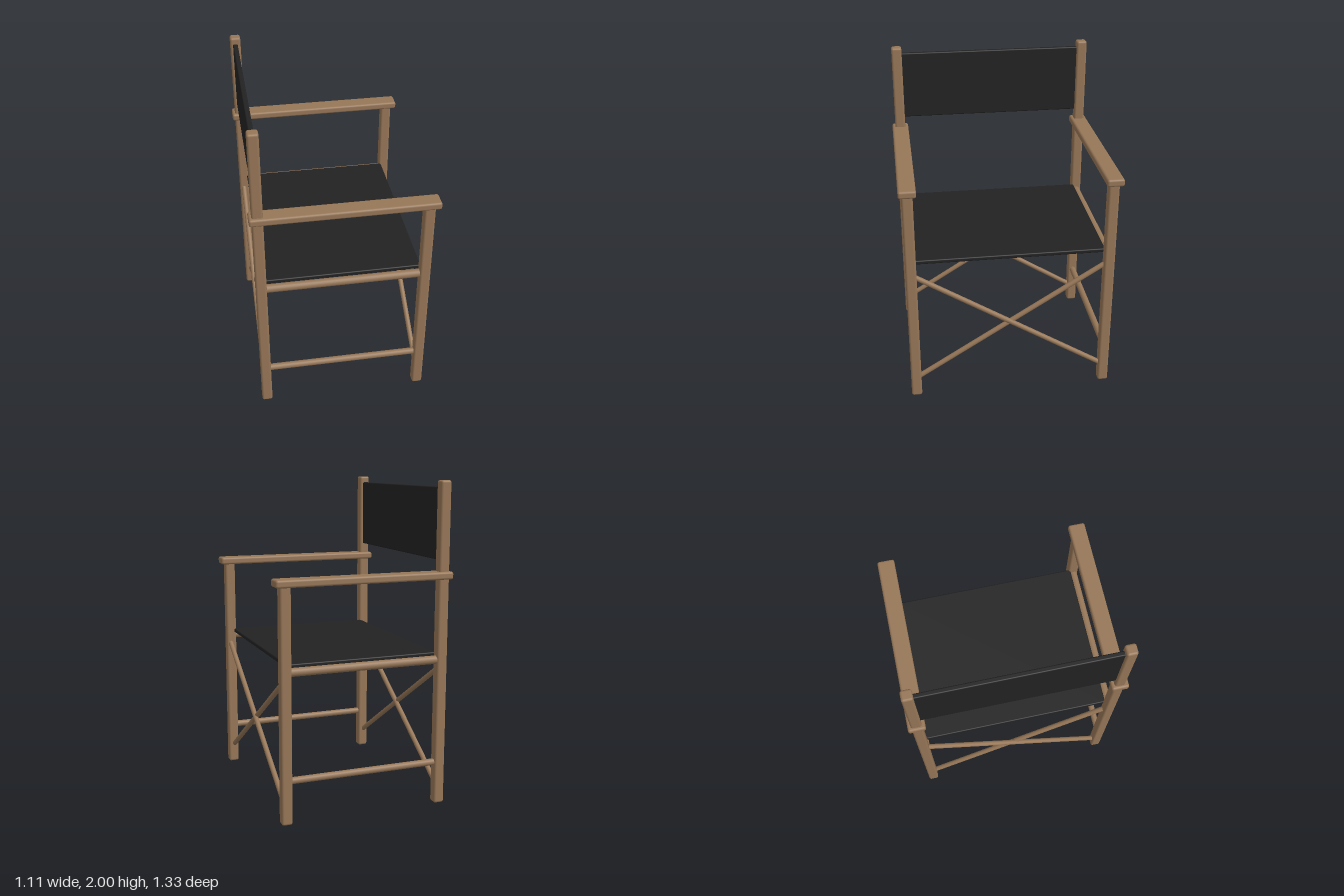
import * as THREE from 'three';
import { RoundedBoxGeometry } from 'three/addons/geometries/RoundedBoxGeometry.js';

const wood = new THREE.MeshStandardMaterial({ name: 'wood', color: 0x967657 });
const fabric = new THREE.MeshStandardMaterial({ name: 'blackFabric', color: 0x222222 });

const BACK_X = -0.507, FRONT_X = 0.492, POST_Z = 0.61, POST = 0.066;

export function createModel() {
  const chair = new THREE.Group();
  chair.name = 'foldingArmchair';

  // Softened box given by its minimum and maximum corners
  const box = (name, min, max, radius, material) => {
    const a = new THREE.Vector3(...min), b = new THREE.Vector3(...max);
    const size = b.clone().sub(a);
    const mesh = new THREE.Mesh(new RoundedBoxGeometry(size.x, size.y, size.z, 3, radius), material);
    mesh.name = name;
    mesh.position.copy(a).add(b).multiplyScalar(0.5);
    chair.add(mesh);
  };

  // Round rod between two points
  const rod = (name, from, to, radius) => {
    const a = new THREE.Vector3(...from), b = new THREE.Vector3(...to);
    const dir = b.clone().sub(a);
    const mesh = new THREE.Mesh(new THREE.CylinderGeometry(radius, radius, dir.length(), 20), wood);
    mesh.name = name;
    mesh.position.copy(a).add(b).multiplyScalar(0.5);
    mesh.quaternion.setFromUnitVectors(new THREE.Vector3(0, 1, 0), dir.normalize());
    chair.add(mesh);
  };

  const h = POST / 2;
  for (const side of [-1, 1]) {
    const z = side * POST_Z;
    // Posts
    box('backPost', [BACK_X - h, 0, z - h], [BACK_X + h, 2, z + h], 0.014, wood);
    box('frontPost', [FRONT_X - h, 0, z - h], [FRONT_X + h, 1.43, z + h], 0.014, wood);
    // Armrest
    box('armrest', [-0.558, 1.415, z - 0.053], [0.555, 1.462, z + 0.053], 0.014, wood);
    // Side rails
    rod('seatRail', [BACK_X, 0.92, z], [FRONT_X, 0.92, z], 0.026);
    rod('lowerRail', [BACK_X, 0.265, z], [FRONT_X, 0.265, z], 0.021);
  }

  // Crossed braces, front and back, lying side by side where they cross
  for (const x of [BACK_X, FRONT_X]) {
    for (const s of [-1, 1]) {
      const bx = x + s * 0.006;
      rod('crossBrace', [bx, 0.874, s * 0.6], [bx, 0.119, -s * 0.6], 0.016);
    }
  }

  // Fabric seat and backrest
  box('seat', [-0.487, 0.937, -0.59], [0.473, 0.963, 0.59], 0.008, fabric);
  box('backrest', [-0.523, 1.526, -0.59], [-0.493, 1.96, 0.59], 0.008, fabric);

  return chair;
}
